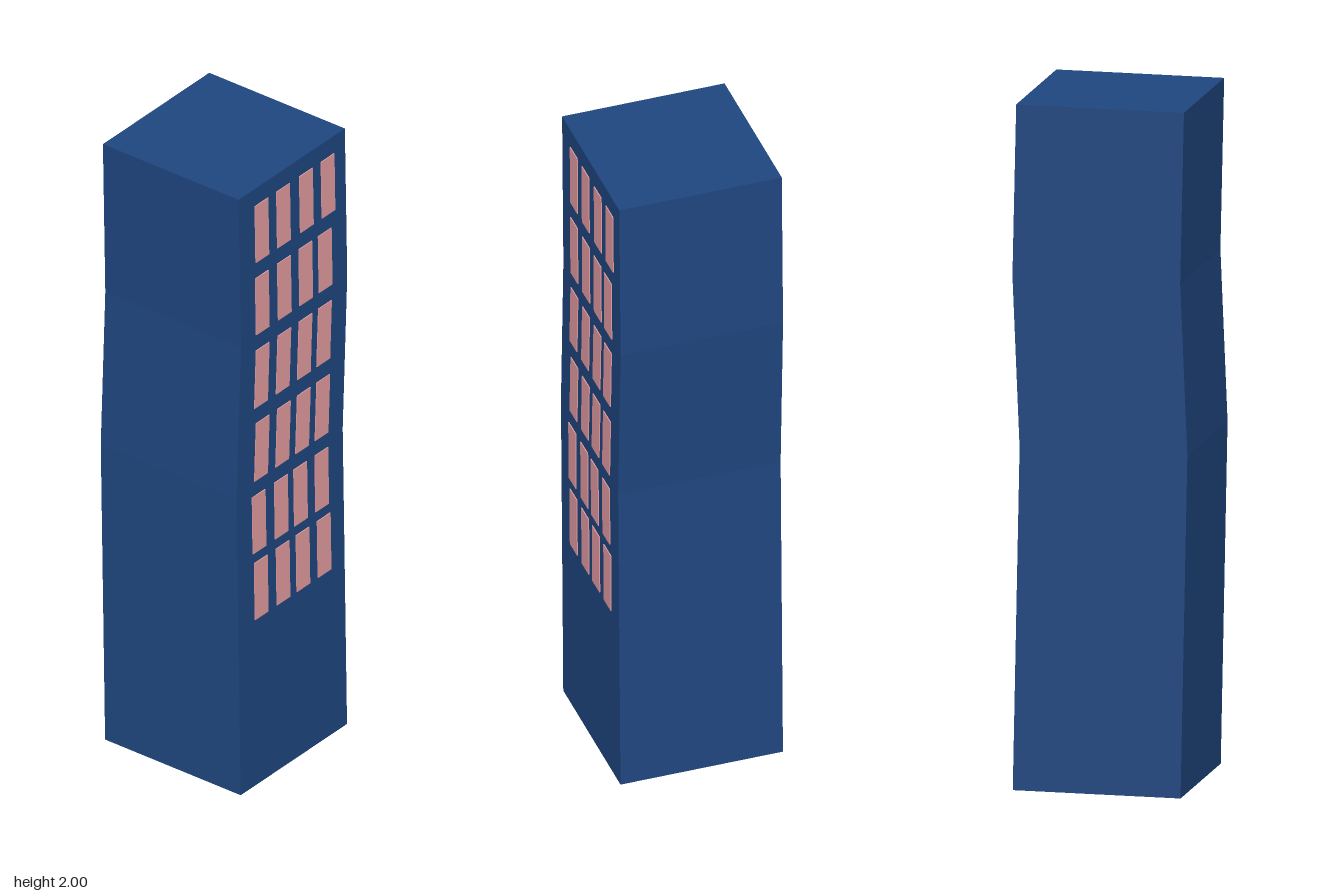
import * as THREE from 'three';

const HALF_WIDTH = 0.246;
const BACK = -0.247, FRONT = 0.244;
// [height, sideways shift] of the wobbling tower
const SWAY = [[0, 0.009], [1, -0.011], [1.5, 0.01], [2, -0.001]];

function swayAt(y) {
  for (let i = 1; i < SWAY.length; i++) {
    const [y0, s0] = SWAY[i - 1], [y1, s1] = SWAY[i];
    if (y <= y1) return s0 + (s1 - s0) * (y - y0) / (y1 - y0);
  }
  return SWAY[SWAY.length - 1][1];
}

// Window rows: height of the centre, then the x centre of each pane
const ROWS = [
  [1.847, [-0.141, -0.041, 0.065, 0.165]],
  [1.604, [-0.139, -0.037, 0.062, 0.152]],
  [1.361, [-0.141, -0.041, 0.057, 0.147]],
  [1.117, [-0.141, -0.043, 0.049, 0.139]],
  [0.877, [-0.154, -0.051, 0.038, 0.136]],
  [0.652, [-0.144, -0.043, 0.049, 0.147]],
];

export function createModel() {
  const model = new THREE.Group();
  model.name = 'tower';
  const wallMaterial = new THREE.MeshStandardMaterial({ color: 0x1f4680 });
  const paneMaterial = new THREE.MeshStandardMaterial({ color: 0xe39ca1 });

  // Solid tower: bent outline extruded front to back
  const outline = [
    ...SWAY.map(([y, s]) => new THREE.Vector2(s + HALF_WIDTH, y)),
    ...SWAY.map(([y, s]) => new THREE.Vector2(s - HALF_WIDTH, y)).reverse(),
  ];
  const wallGeometry = new THREE.ExtrudeGeometry(new THREE.Shape(outline), {
    depth: FRONT - BACK, bevelEnabled: false,
  });
  wallGeometry.translate(0, 0, BACK);
  const walls = new THREE.Mesh(wallGeometry, wallMaterial);
  walls.name = 'walls';
  model.add(walls);

  // Thin panes on the front, leaning with the wall
  const windows = new THREE.Group();
  windows.name = 'windows';
  for (const [y, centres] of ROWS) {
    for (const x of centres) {
      const geometry = new THREE.BoxGeometry(0.061, 0.191, 0.003);
      const position = geometry.attributes.position;
      for (let i = 0; i < position.count; i++) {
        const lean = swayAt(y + position.getY(i)) - swayAt(y);
        position.setX(i, position.getX(i) + lean);
      }
      geometry.computeVertexNormals();
      const pane = new THREE.Mesh(geometry, paneMaterial);
      pane.name = 'window';
      pane.position.set(x, y, FRONT + 0.0015);
      windows.add(pane);
    }
  }
  model.add(windows);
  return model;
}
